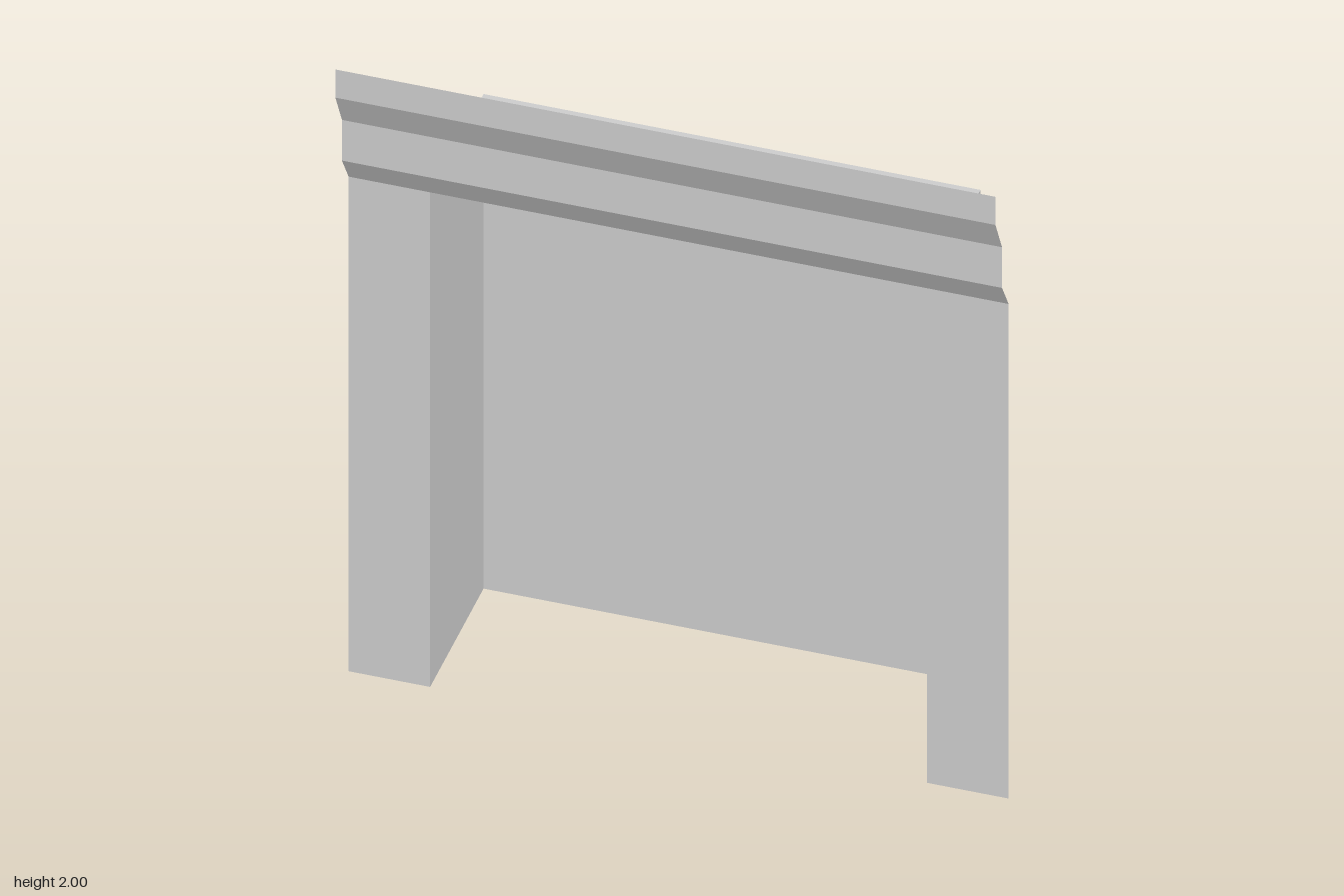
import * as THREE from 'three';

const HALF_WIDTH = 0.89, HALF_NICHE = 0.67, HEIGHT = 1.58;
const FRONT = 0.165, BACK = -0.28, DEPTH = FRONT - BACK;

export function createModel() {
  const group = new THREE.Group();
  const plaster = new THREE.MeshStandardMaterial({ color: 0xcccccc, side: THREE.DoubleSide });
  plaster.name = 'lightGrey';

  // One flat sheet, facing +z before it is turned
  function panel(name, width, height, position, rotX = 0, rotY = 0) {
    const mesh = new THREE.Mesh(new THREE.PlaneGeometry(width, height), plaster);
    mesh.name = name;
    mesh.position.set(...position);
    mesh.rotation.set(rotX, rotY, 0);
    group.add(mesh);
    return mesh;
  }

  // Recess: back wall and ceiling, open at the front and the bottom
  const midZ = (FRONT + BACK) / 2;
  panel('nicheBack', HALF_NICHE * 2, HEIGHT, [0, HEIGHT / 2, BACK]);
  panel('nicheCeiling', HALF_NICHE * 2, DEPTH, [0, HEIGHT, midZ], Math.PI / 2);

  // Mirrored side walls and front jambs
  const jambWidth = HALF_WIDTH - HALF_NICHE;
  for (const [side, s] of [['left', 1], ['right', -1]]) {
    panel(side + 'NicheWall', DEPTH, HEIGHT, [s * HALF_NICHE, HEIGHT / 2, midZ], 0, -s * Math.PI / 2);
    panel(side + 'Jamb', jambWidth, HEIGHT, [s * (HALF_NICHE + jambWidth / 2), HEIGHT / 2, FRONT]);
  }

  // Stepped cornice: an open folded sheet, given as [y, z] from bottom to top
  const profile = [[HEIGHT, FRONT], [1.67, 0.22], [1.8, 0.22], [1.91, 0.275], [2, 0.275]];
  const cornice = new THREE.Group();
  cornice.name = 'cornice';
  for (let i = 0; i < profile.length - 1; i++) {
    const [y0, z0] = profile[i], [y1, z1] = profile[i + 1];
    const band = panel('corniceBand' + (i + 1), HALF_WIDTH * 2, Math.hypot(y1 - y0, z1 - z0),
      [0, (y0 + y1) / 2, (z0 + z1) / 2], Math.atan2(z1 - z0, y1 - y0));
    cornice.add(band);
  }
  group.add(cornice);

  return group;
}
